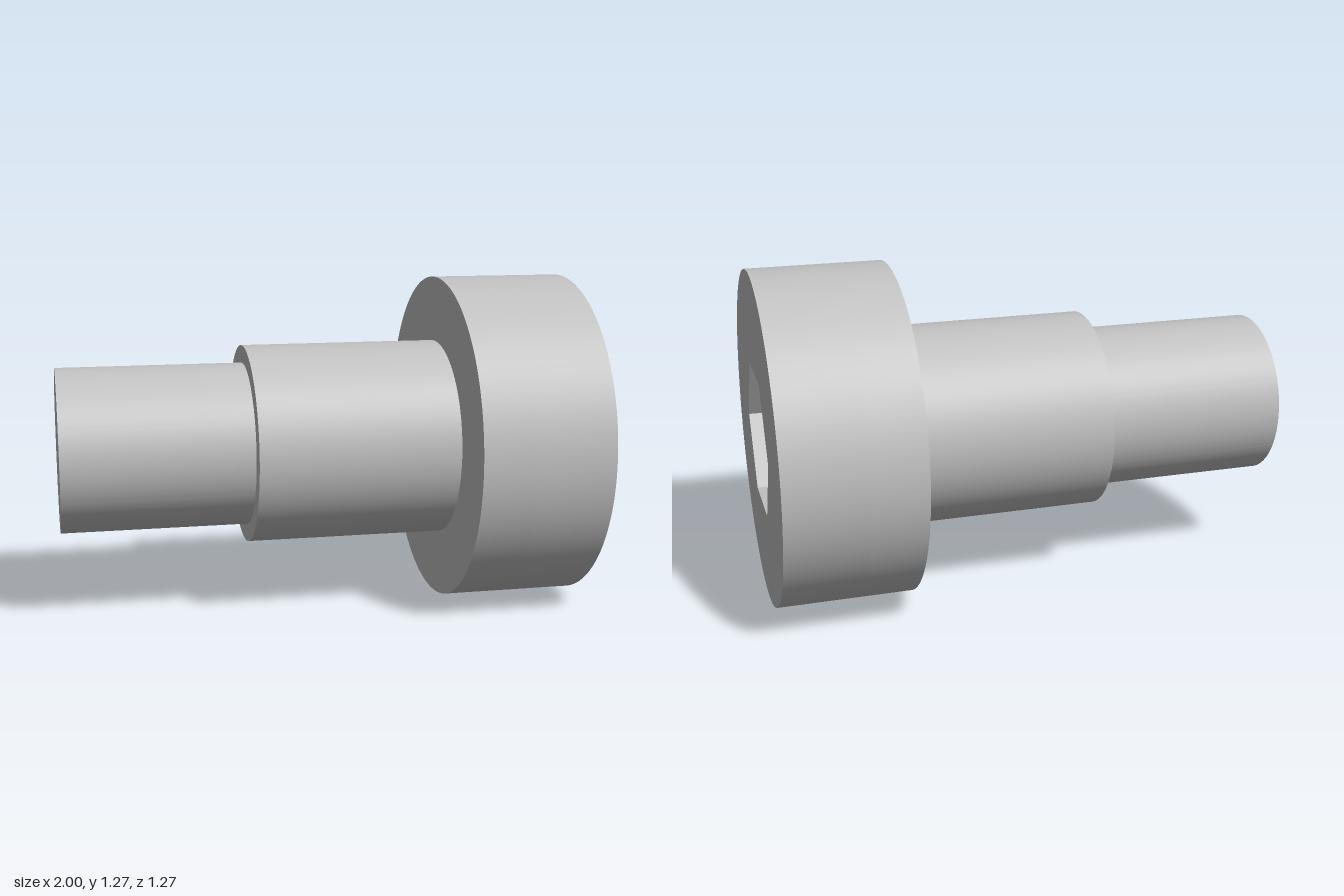
import * as THREE from 'three';
import { toCreasedNormals } from 'three/addons/utils/BufferGeometryUtils.js';

const AXIS_Y = 0.635;

export function createModel() {
  const group = new THREE.Group();
  group.name = 'shoulderScrew';
  const steel = new THREE.MeshStandardMaterial({ color: 0xc0c0c0 });
  steel.name = 'steel grey';

  // Round section along x, with an optional hexagonal hole through it
  function section(name, x0, x1, radius, hexRadius = 0) {
    const shape = new THREE.Shape().absarc(0, 0, radius, 0, Math.PI * 2);
    if (hexRadius) {
      const corners = [];
      for (let i = 0; i < 6; i++) {
        const a = (i * Math.PI) / 3;
        corners.push(new THREE.Vector2(Math.cos(a) * hexRadius, Math.sin(a) * hexRadius));
      }
      shape.holes.push(new THREE.Path(corners).closePath());
    }
    const solid = new THREE.ExtrudeGeometry(shape, {
      depth: x1 - x0, bevelEnabled: false, curveSegments: 96,
    });
    const geometry = toCreasedNormals(solid, 0.5);
    geometry.rotateY(Math.PI / 2);
    const mesh = new THREE.Mesh(geometry, steel);
    mesh.name = name;
    mesh.position.set(x0, AXIS_Y, 0);
    group.add(mesh);
  }

  section('shank', -1, -0.283, 0.315);
  section('shoulder', -0.283, 0.488, 0.383);
  // The head base closes the bottom of the hex socket
  section('headBase', 0.488, 0.697, 0.635);
  section('headSocket', 0.697, 1, 0.635, 0.296);

  return group;
}
